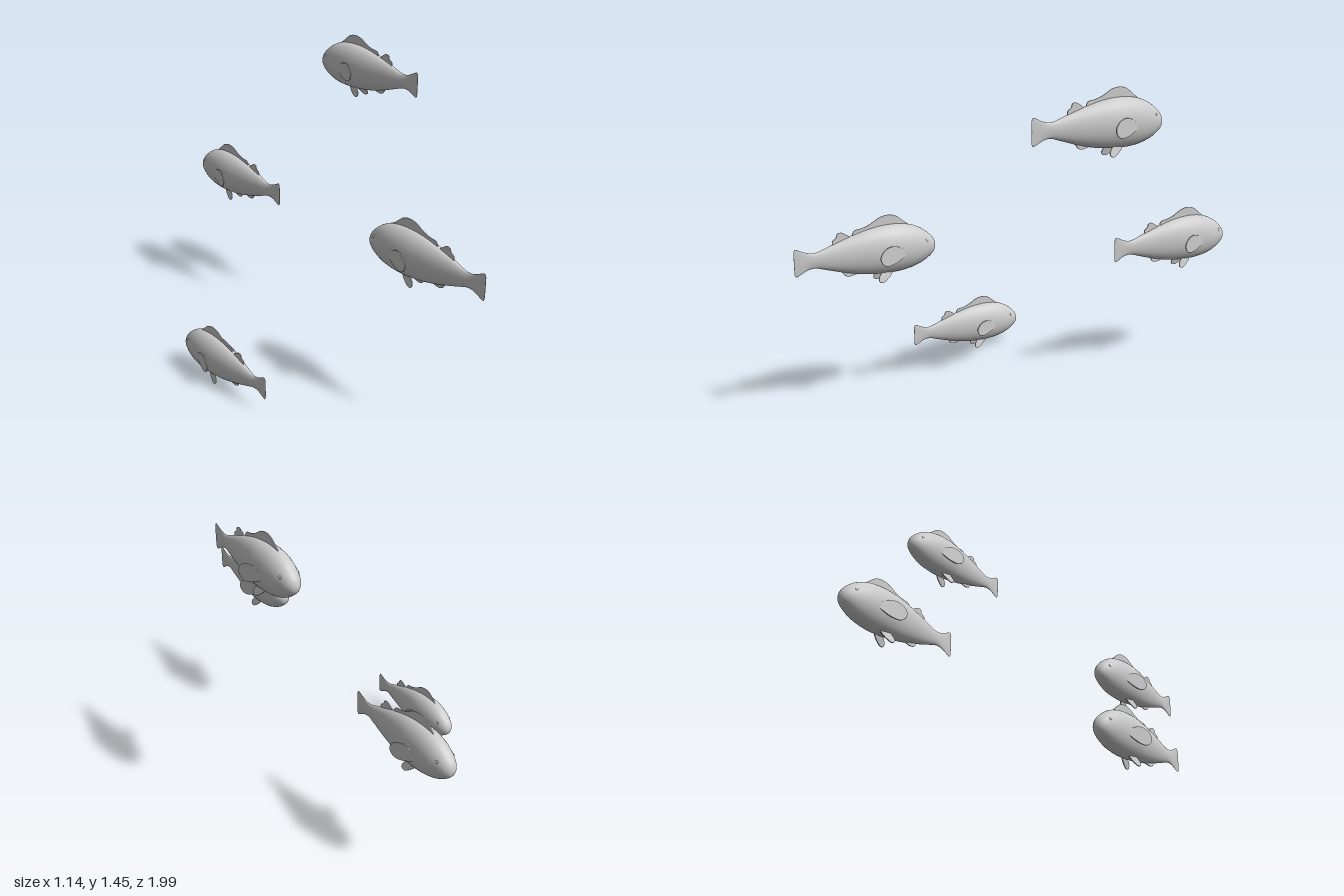
import * as THREE from 'three';

const LENGTH = 0.645;
const HEADING = THREE.MathUtils.degToRad(27);
const material = new THREE.MeshStandardMaterial({ color: 0xcccccc, side: THREE.DoubleSide });

// Body stations from nose to tail: distance, top, bottom, half width
const STATIONS = [
  [0, 0.142, 0.130, 0.004], [0.008, 0.166, 0.108, 0.022], [0.03, 0.192, 0.088, 0.039],
  [0.07, 0.222, 0.064, 0.053], [0.12, 0.243, 0.047, 0.063], [0.18, 0.253, 0.038, 0.067],
  [0.25, 0.252, 0.037, 0.065], [0.32, 0.241, 0.042, 0.056], [0.39, 0.222, 0.055, 0.044],
  [0.46, 0.199, 0.073, 0.030], [0.52, 0.177, 0.091, 0.018], [0.555, 0.168, 0.100, 0.011],
  [0.59, 0.173, 0.095, 0.006], [0.628, 0.190, 0.075, 0.003], [0.64, 0.191, 0.074, 0.002],
  [0.645, 0.180, 0.084, 0.001],
];

// Body and tail fin: elliptical rings lofted along the stations
function bodyGeometry() {
  const rings = 60, sides = 32;
  const curve = (f) => new THREE.CatmullRomCurve3(STATIONS.map(f), false, 'catmullrom', 0.5);
  const heights = curve(([s, t, b]) => new THREE.Vector3(s, t, b));
  const widths = curve(([s, , , w]) => new THREE.Vector3(s, w, 0));
  const pos = [], index = [];
  for (let i = 0; i <= rings; i++) {
    const p = heights.getPoint(i / rings);
    const w = Math.max(widths.getPoint(i / rings).y, 0.001);
    for (let j = 0; j < sides; j++) {
      const a = (j / sides) * Math.PI * 2;
      pos.push(w * Math.cos(a), (p.y + p.z) / 2 + ((p.y - p.z) / 2) * Math.sin(a), p.x - LENGTH);
      if (i === rings) continue;
      const k = i * sides, n = (j + 1) % sides;
      index.push(k + j, k + n, k + sides + j, k + n, k + sides + n, k + sides + j);
    }
  }
  // close the nose and the tail edge
  for (let j = 1; j < sides - 1; j++) {
    index.push(0, j + 1, j);
    const k = rings * sides;
    index.push(k, k + j, k + j + 1);
  }
  const geo = new THREE.BufferGeometry();
  geo.setAttribute('position', new THREE.Float32BufferAttribute(pos, 3));
  geo.setIndex(index);
  geo.computeVertexNormals();
  return geo;
}

// Thin fin from a closed smooth outline; outline x runs towards the tail
function finGeometry(points) {
  const outline = new THREE.CatmullRomCurve3(
    points.map(([x, y]) => new THREE.Vector3(x, y, 0)), true, 'centripetal').getPoints(44);
  const shape = new THREE.Shape(outline.slice(0, -1).map((p) => new THREE.Vector2(p.x, p.y)));
  const geo = new THREE.ExtrudeGeometry(shape, {
    depth: 0.002, bevelEnabled: true, bevelThickness: 0.002, bevelSize: 0.002,
    bevelOffset: -0.002, bevelSegments: 2,
  });
  geo.translate(0, 0, -0.001);
  return geo.rotateY(-Math.PI / 2);
}

const GEO = {
  body: bodyGeometry(),
  dorsal: finGeometry([[0.12, 0.235], [0.15, 0.263], [0.185, 0.289], [0.22, 0.296], [0.26, 0.288],
    [0.3, 0.265], [0.34, 0.25], [0.375, 0.243], [0.385, 0.225], [0.36, 0.2], [0.25, 0.2], [0.15, 0.2]]),
  rearDorsal: finGeometry([[0.395, 0.215], [0.415, 0.232], [0.435, 0.242], [0.452, 0.238],
    [0.458, 0.222], [0.475, 0.208], [0.47, 0.18], [0.41, 0.18]]),
  anal: finGeometry([[0.35, 0.06], [0.38, 0.047], [0.405, 0.043], [0.425, 0.05],
    [0.435, 0.064], [0.46, 0.078], [0.44, 0.1], [0.37, 0.09]]),
  pectoral: finGeometry([[0, 0], [0.04, 0.03], [0.085, 0.043], [0.125, 0.032], [0.148, 0.002],
    [0.14, -0.026], [0.115, -0.041], [0.075, -0.037], [0.035, -0.021]]),
  pelvic: finGeometry([[-0.012, 0.012], [0.02, 0.016], [0.055, 0.02], [0.085, 0.012],
    [0.095, -0.003], [0.085, -0.018], [0.055, -0.021], [0.02, -0.014]]),
  eye: new THREE.SphereGeometry(0.008, 16, 12),
};

function addPart(parent, name, geometry, x = 0, y = 0, s = 0) {
  const mesh = new THREE.Mesh(geometry, material);
  mesh.name = name;
  mesh.position.set(x, y, s - LENGTH);
  parent.add(mesh);
  return mesh;
}

// One fish; its origin lies under the end of the tail
function createFish() {
  const fish = new THREE.Group();
  const body = addPart(fish, 'bodyAndTail', GEO.body);
  body.position.z = 0;
  addPart(fish, 'dorsalFin', GEO.dorsal);
  addPart(fish, 'rearDorsalFin', GEO.rearDorsal);
  addPart(fish, 'analFin', GEO.anal);
  for (const side of [-1, 1]) {
    // side fins sweep out and back
    const pectoral = addPart(fish, 'pectoralFin', GEO.pectoral, side * 0.058, 0.13, 0.15);
    pectoral.rotation.y = side * 0.24;
    // belly fins hang down, back and slightly apart
    const pelvic = addPart(fish, 'pelvicFin', GEO.pelvic, side * 0.014, 0.062, 0.205);
    pelvic.rotation.set(0.56, side * 0.26, side * 0.25, 'YXZ');
    const eye = addPart(fish, 'eye', GEO.eye, side * 0.042, 0.17, 0.055);
    eye.scale.x = 0.6;
  }
  return fish;
}

export function createModel() {
  const group = new THREE.Group();
  group.name = 'fishSchool';
  // tail position x, base height, tail z, size
  const school = [
    [0.0, 0.505, -0.42, 1], [0.565, 1.158, 0.0, 1],
    [-0.285, 0.0, 0.56, 0.91], [0.522, 0.602, 0.995, 1],
  ];
  school.forEach(([x, y, z, size], i) => {
    const fish = createFish();
    fish.name = `fish${i + 1}`;
    fish.position.set(x, y, z);
    fish.rotation.y = HEADING;
    fish.scale.setScalar(size);
    group.add(fish);
  });
  return group;
}
